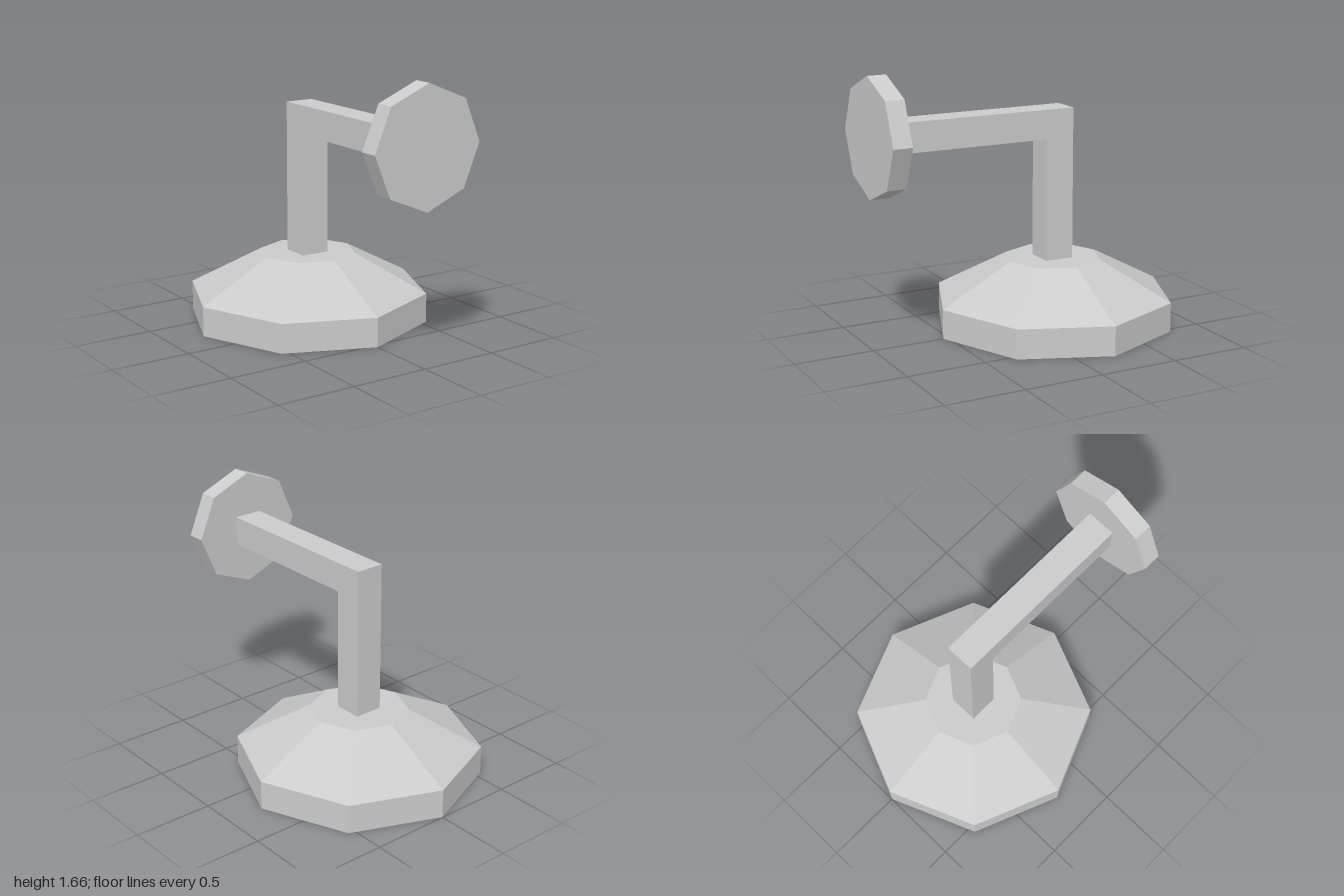
import * as THREE from 'three';

export function createModel() {
  const group = new THREE.Group();
  const material = new THREE.MeshStandardMaterial({ color: 0xcccccc, flatShading: true });
  const axisZ = -0.23; // centre line of base and post
  const sides = 8;

  const add = (name, geometry, x, y, z) => {
    const mesh = new THREE.Mesh(geometry, material);
    mesh.name = name;
    mesh.position.set(x, y, z);
    group.add(mesh);
    return mesh;
  };

  // Octagonal foot with a sloped upper part
  const profile = [[0, 0], [0.768, 0], [0.768, 0.186], [0.308, 0.431], [0, 0.431]];
  add('base', new THREE.LatheGeometry(profile.map(([r, y]) => new THREE.Vector2(r, y)), sides), 0, 0, axisZ);

  // Square-section post and arm in one bent piece, drawn as (z, y)
  const width = 0.184;
  const back = axisZ - width / 2, front = axisZ + width / 2;
  const outline = [[back, 0.431], [front, 0.431], [front, 1.205], [0.88, 1.205], [0.88, 1.389], [back, 1.389]];
  const bend = new THREE.ExtrudeGeometry(
    new THREE.Shape(outline.map(([z, y]) => new THREE.Vector2(z, y))),
    { depth: width, bevelEnabled: false }
  );
  bend.translate(0, 0, -width / 2).rotateY(-Math.PI / 2);
  add('postAndArm', bend, 0, 0, 0);

  // Octagonal disc facing forward at the end of the arm
  const disc = new THREE.CylinderGeometry(0.368, 0.368, 0.12, sides).rotateX(Math.PI / 2);
  add('headDisc', disc, 0, 1.297, 0.94);

  return group;
}
